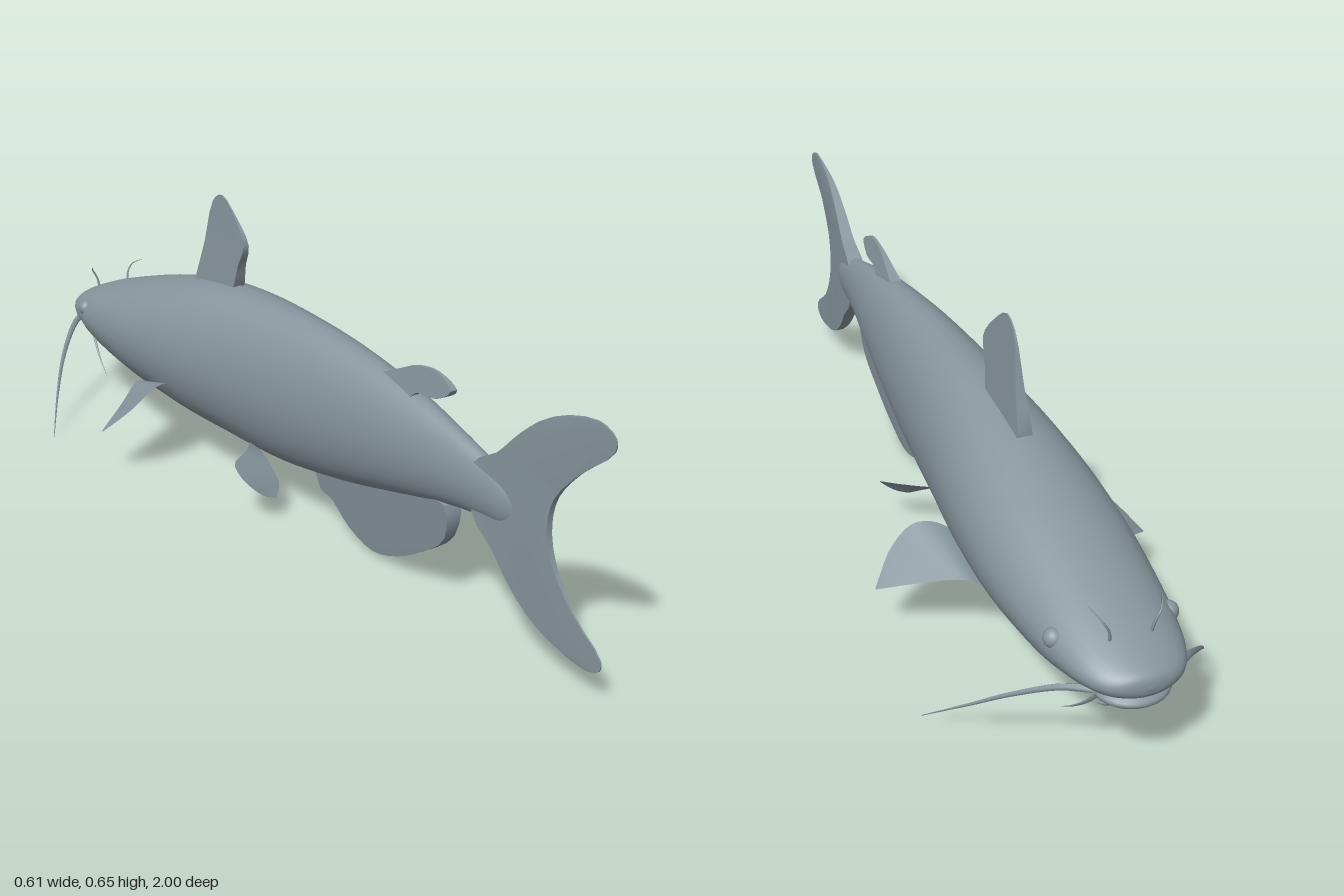
import * as THREE from 'three';
import { mergeVertices, toCreasedNormals } from 'three/addons/utils/BufferGeometryUtils.js';

const skin = new THREE.MeshStandardMaterial({ color: 0x87959d, side: THREE.DoubleSide });
skin.name = 'grey skin';

const V3 = (p) => new THREE.Vector3(...p);

// Smooth surface from rows of points; rows run along the body
function loft(rows, closed) {
  const n = rows[0].length, index = [];
  for (let i = 0; i < rows.length - 1; i++)
    for (let j = 0; j < (closed ? n : n - 1); j++) {
      const k = (j + 1) % n;
      const a = i * n + j, b = i * n + k, c = a + n, d = b + n;
      index.push(a, b, c, b, d, c);
    }
  const g = new THREE.BufferGeometry().setFromPoints(rows.flat());
  g.setIndex(index);
  g.computeVertexNormals();
  return g;
}

// Body stations from snout to tail: z, top y, bottom y, half width
const stations = [
  [-1.0, 0.242, 0.225, 0.012], [-0.992, 0.258, 0.212, 0.05], [-0.97, 0.27, 0.2, 0.082],
  [-0.93, 0.287, 0.187, 0.106], [-0.87, 0.31, 0.168, 0.123], [-0.78, 0.34, 0.145, 0.139],
  [-0.6, 0.393, 0.12, 0.154], [-0.4, 0.44, 0.105, 0.148], [-0.2, 0.463, 0.103, 0.127],
  [0, 0.467, 0.112, 0.106], [0.2, 0.457, 0.145, 0.086], [0.4, 0.43, 0.192, 0.063],
  [0.56, 0.393, 0.23, 0.041], [0.66, 0.365, 0.243, 0.028], [0.72, 0.345, 0.25, 0.021], [0.77, 0.315, 0.28, 0.006],
];

function bodyGeometry() {
  const spine = new THREE.SplineCurve(stations.map(([z, t, b]) => new THREE.Vector2(z, (t + b) / 2)));
  const size = new THREE.SplineCurve(stations.map(([, t, b, w]) => new THREE.Vector2(w, (t - b) / 2)));
  const rows = [], steps = 60, sides = 32;
  for (let i = 0; i <= steps; i++) {
    const c = spine.getPoint(i / steps), s = size.getPoint(i / steps);
    // Collapse the first and last rings to close the ends
    const k = i === 0 || i === steps ? 0 : 1;
    rows.push(Array.from({ length: sides }, (_, j) => {
      const a = (j / sides) * Math.PI * 2;
      return new THREE.Vector3(Math.cos(a) * s.x * k, c.y + Math.sin(a) * s.y * k, c.x);
    }));
  }
  return loft(rows, true);
}

// Upright fin from a [z, y] outline; half thickness is a rule of z and y
function uprightFin(outline, thickness) {
  const curve = new THREE.CatmullRomCurve3(outline.map(([z, y]) => new THREE.Vector3(z, y, 0)), true);
  const shape = new THREE.Shape(curve.getPoints(outline.length * 3).slice(0, -1).map((p) => new THREE.Vector2(p.x, p.y)));
  const g = new THREE.ExtrudeGeometry(shape, { depth: 1, bevelEnabled: false });
  const pos = g.attributes.position;
  for (let i = 0; i < pos.count; i++) {
    const z = pos.getX(i), y = pos.getY(i);
    pos.setXYZ(i, (0.5 - pos.getZ(i)) * 2 * Math.max(0.0015, thickness(z, y)), y, z);
  }
  g.deleteAttribute('normal');
  g.deleteAttribute('uv');
  return toCreasedNormals(mergeVertices(g), 0.8);
}

// Side fin spanned between its leading and trailing edges
function sideFin(lead, trail, s) {
  const edge = (pts) => new THREE.CatmullRomCurve3(pts.map(([x, y, z]) => new THREE.Vector3(x * s, y, z))).getPoints(14);
  const a = edge(lead), b = edge(trail);
  return loft(a.map((p, i) => Array.from({ length: 7 }, (_, j) => p.clone().lerp(b[i], j / 6))), false);
}

// Whisker: a tube that narrows to a point
function barbel(points, radius, s) {
  const path = new THREE.CatmullRomCurve3(points.map(([x, y, z]) => new THREE.Vector3(x * s, y, z)));
  const steps = 18, sides = 6;
  const g = new THREE.TubeGeometry(path, steps, radius, sides);
  const pos = g.attributes.position, v = new THREE.Vector3();
  for (let i = 0; i < pos.count; i++) {
    const t = Math.floor(i / (sides + 1)) / steps;
    v.fromBufferAttribute(pos, i).lerp(path.getPointAt(t), t * 0.9);
    pos.setXYZ(i, v.x, v.y, v.z);
  }
  g.computeVertexNormals();
  return g;
}

export function createModel() {
  const fish = new THREE.Group();
  fish.name = 'catfish';
  const add = (name, geometry) => {
    const m = new THREE.Mesh(geometry, skin);
    m.name = name;
    fish.add(m);
    return m;
  };

  add('body', bodyGeometry());

  // Lower jaw under the snout
  const jaw = add('lowerJaw', new THREE.SphereGeometry(1, 24, 14));
  jaw.scale.set(0.074, 0.022, 0.065);
  jaw.position.set(0, 0.192, -0.927);

  // Fins on the centre line
  add('dorsalFin', uprightFin([
    [-0.43, 0.42], [-0.4, 0.53], [-0.37, 0.635], [-0.33, 0.656], [-0.265, 0.612],
    [-0.225, 0.56], [-0.245, 0.51], [-0.27, 0.44], [-0.35, 0.42],
  ], (z, y) => 0.016 - (y - 0.44) * 0.075));
  add('adiposeFin', uprightFin([
    [0.3, 0.42], [0.36, 0.45], [0.43, 0.48], [0.5, 0.488], [0.548, 0.465],
    [0.51, 0.438], [0.45, 0.432], [0.42, 0.41],
  ], (z, y) => 0.015 - (y - 0.43) * 0.2));
  add('analFin', uprightFin([
    [0.08, 0.16], [0.085, 0.11], [0.1, 0.085], [0.14, 0.077], [0.2, 0.035], [0.29, 0.014],
    [0.38, 0.04], [0.47, 0.09], [0.55, 0.155], [0.555, 0.23], [0.4, 0.215], [0.22, 0.175],
  ], (z, y) => 0.018 * (y - 0.01) / 0.2));
  add('tailFin', uprightFin([
    [0.64, 0.355], [0.7, 0.395], [0.76, 0.455], [0.83, 0.508], [0.95, 0.543], [0.995, 0.525],
    [0.995, 0.5], [0.915, 0.43], [0.855, 0.36], [0.84, 0.3], [0.855, 0.235], [0.915, 0.155],
    [0.995, 0.095], [0.993, 0.072], [0.95, 0.058], [0.83, 0.085], [0.75, 0.14], [0.7, 0.195], [0.64, 0.25],
  ], (z) => 0.02 * (1 - (z - 0.64) / 0.3)));

  // Paired parts
  for (const [side, s] of [['left', 1], ['right', -1]]) {
    add(side + 'PectoralFin', sideFin(
      [[0.12, 0.165, -0.52], [0.15, 0.175, -0.5], [0.22, 0.15, -0.445], [0.3, 0.118, -0.39]],
      [[0.12, 0.205, -0.37], [0.16, 0.221, -0.345], [0.2, 0.216, -0.33], [0.25, 0.175, -0.338], [0.3, 0.118, -0.385]], s));
    add(side + 'PelvicFin', sideFin(
      [[0.07, 0.142, -0.1], [0.1, 0.135, -0.07], [0.152, 0.132, -0.03], [0.155, 0.11, 0.015], [0.115, 0.07, 0.03], [0.085, 0.056, 0.03]],
      [[0.045, 0.12, -0.1], [0.05, 0.105, -0.05], [0.055, 0.075, 0], [0.08, 0.055, 0.03]], s));

    const eye = add(side + 'Eye', new THREE.SphereGeometry(0.02, 16, 12));
    eye.position.set(s * 0.115, 0.262, -0.838);

    add(side + 'LongBarbel', barbel(
      [[0.08, 0.212, -0.94], [0.125, 0.2, -0.9], [0.19, 0.15, -0.83], [0.245, 0.085, -0.755], [0.303, 0.006, -0.662]], 0.008, s));
    add(side + 'NasalBarbel', barbel(
      [[0.04, 0.275, -0.91], [0.045, 0.31, -0.917], [0.057, 0.332, -0.915], [0.072, 0.35, -0.885]], 0.004, s));
    add(side + 'OuterChinBarbel', barbel(
      [[0.06, 0.19, -0.925], [0.068, 0.155, -0.9], [0.075, 0.115, -0.86], [0.08, 0.075, -0.81]], 0.005, s));
    add(side + 'InnerChinBarbel', barbel(
      [[0.025, 0.185, -0.935], [0.028, 0.155, -0.92], [0.032, 0.13, -0.895], [0.035, 0.11, -0.86]], 0.0045, s));
  }
  return fish;
}
